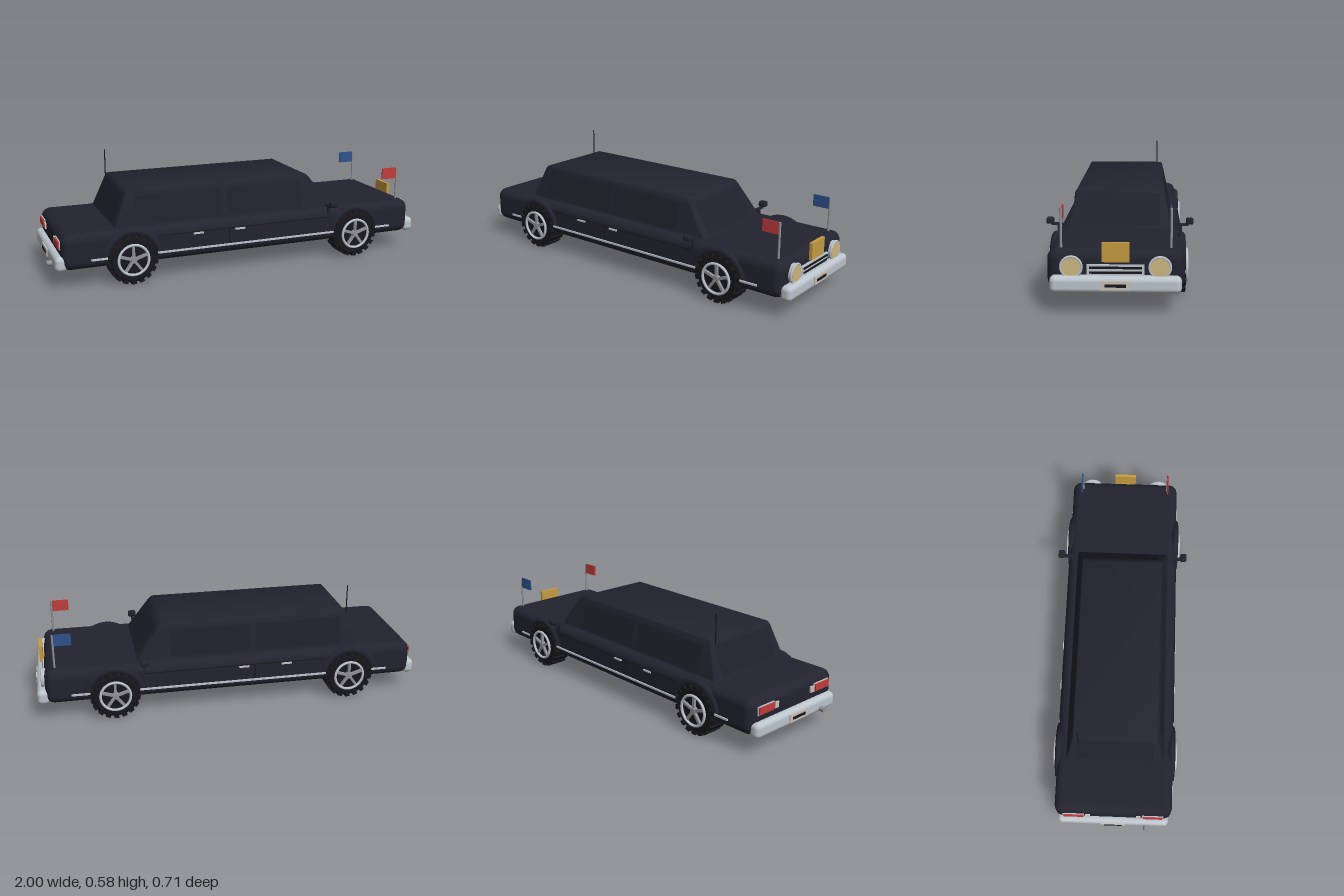
import * as THREE from 'three';
import { RoundedBoxGeometry } from 'three/addons/geometries/RoundedBoxGeometry.js';
import { toCreasedNormals } from 'three/addons/utils/BufferGeometryUtils.js';

const mat = (name, color, extra = {}) => {
  const m = new THREE.MeshStandardMaterial({ color, ...extra });
  m.name = name;
  return m;
};

export function createModel() {
  const paint = mat('black paint', 0x232330);
  const glass = mat('dark glass', 0x20202c, { side: THREE.DoubleSide });
  const rubber = mat('rubber', 0x17171c);
  const chrome = mat('chrome', 0xbcc4cc);
  const steel = mat('rim steel', 0x909298);
  const red = mat('red', 0xc23c3c);
  const blue = mat('blue', 0x2f528f);
  const gold = mat('gold', 0xc69c40);
  const lens = mat('lamp lens', 0xcdb981);
  const ivory = mat('plate ivory', 0xcbc2b8);

  const car = new THREE.Group();
  car.name = 'limousine';

  const add = (name, geo, material, x = 0, y = 0, z = 0, parent = car) => {
    const m = new THREE.Mesh(geo, material);
    m.name = name;
    m.position.set(x, y, z);
    parent.add(m);
    return m;
  };
  // box given by its minimum and maximum corners
  const box = (name, material, a, b, parent = car) => add(name,
    new THREE.BoxGeometry(b[0] - a[0], b[1] - a[1], b[2] - a[2]), material,
    (a[0] + b[0]) / 2, (a[1] + b[1]) / 2, (a[2] + b[2]) / 2, parent);
  const rounded = (name, material, a, b, r) => add(name,
    new RoundedBoxGeometry(b[0] - a[0], b[1] - a[1], b[2] - a[2], 4, r), material,
    (a[0] + b[0]) / 2, (a[1] + b[1]) / 2, (a[2] + b[2]) / 2);
  // four-cornered pane
  const pane = (name, pts) => {
    const g = new THREE.BufferGeometry().setFromPoints(pts.map(p => new THREE.Vector3(...p)));
    g.setIndex([0, 1, 2, 0, 2, 3]);
    g.computeVertexNormals();
    add(name, g, glass);
  };

  // body and floor
  rounded('body', paint, [-0.945, 0.095, -0.297], [0.95, 0.274, 0.297], 0.045);

  // cabin: a rounded box tapered towards the roof
  const y0 = 0.24, y1 = 0.45;
  const level = y => {
    const t = (y - y0) / (y1 - y0);
    return { back: -0.69 + 0.085 * t, front: 0.515 - 0.15 * t, side: 0.256 - 0.044 * t };
  };
  const cabin = new RoundedBoxGeometry(2, y1 - y0, 2, 4, 0.022);
  const p = cabin.attributes.position;
  for (let i = 0; i < p.count; i++) {
    const y = p.getY(i) + (y0 + y1) / 2, l = level(y);
    p.setXYZ(i, (l.back + l.front) / 2 + p.getX(i) * (l.front - l.back) / 2, y, p.getZ(i) * l.side);
  }
  // keep the rounding even on both axes
  add('cabin', toCreasedNormals(cabin, 0.6), paint);

  // windows
  const lo = level(0.285), hi = level(0.425), e = 0.002;
  pane('windshield', [[lo.front + e, 0.285, 0.192], [lo.front + e, 0.285, -0.192],
    [hi.front + e, 0.425, -0.192], [hi.front + e, 0.425, 0.192]]);
  pane('rearWindow', [[lo.back - e, 0.285, -0.192], [lo.back - e, 0.285, 0.192],
    [hi.back - e, 0.425, 0.192], [hi.back - e, 0.425, -0.192]]);
  for (const s of [1, -1]) {
    for (const [a, b] of [[-0.57, -0.12], [-0.09, 0.32]]) {
      pane('sideWindow', [[a, 0.285, s * (lo.side + e)], [b, 0.285, s * (lo.side + e)],
        [b, 0.42, s * (level(0.42).side + e)], [a, 0.42, s * (level(0.42).side + e)]]);
    }
  }

  // wheels, with the outer face towards +z
  const makeWheel = () => {
    const w = new THREE.Group();
    w.name = 'wheel';
    const tyre = new THREE.LatheGeometry([[0.07, -0.045], [0.106, -0.045], [0.117, -0.034],
      [0.117, 0.034], [0.106, 0.045], [0.076, 0.045], [0.07, 0.03]]
      .map(q => new THREE.Vector2(...q)), 36);
    add('tyre', toCreasedNormals(tyre, 0.6), rubber).rotation.x = Math.PI / 2;
    w.add(car.children[car.children.length - 1]);
    for (let i = 0; i < 18; i++) {
      const a = (i / 18) * Math.PI * 2;
      add('tread', new THREE.BoxGeometry(0.024, 0.016, 0.092), rubber,
        Math.sin(a) * 0.117, Math.cos(a) * 0.117, 0, w).rotation.z = -a;
    }
    add('wheelDisc', new THREE.CylinderGeometry(0.074, 0.074, 0.07, 32), rubber, 0, 0, 0, w).rotation.x = Math.PI / 2;
    add('rimRing', new THREE.TorusGeometry(0.075, 0.007, 8, 40), chrome, 0, 0, 0.052, w);
    add('hub', new THREE.CylinderGeometry(0.015, 0.018, 0.02, 20), steel, 0, 0, 0.046, w).rotation.x = Math.PI / 2;
    for (let i = 0; i < 5; i++) {
      const a = (i / 5) * Math.PI * 2;
      add('spoke', new THREE.BoxGeometry(0.013, 0.066, 0.014), steel,
        Math.sin(a) * 0.041, Math.cos(a) * 0.041, 0.046, w).rotation.z = -a;
    }
    return w;
  };
  for (const x of [-0.605, 0.61]) {
    for (const s of [1, -1]) {
      const w = makeWheel();
      w.position.set(x, 0.125, s * 0.264);
      if (s < 0) w.rotation.y = Math.PI;
      car.add(w);
      // flared arch over the wheel
      const arch = add('wheelArch', new THREE.TorusGeometry(0.137, 0.019, 10, 28, Math.PI * 0.86),
        paint, x, 0.125, s * 0.291);
      arch.rotation.z = Math.PI * 0.07;
    }
  }

  // trim on each flank
  for (const s of [1, -1]) {
    const strip = (name, m, xa, xb, ya, yb, depth) => add(name,
      new THREE.BoxGeometry(xb - xa, yb - ya, depth), m, (xa + xb) / 2, (ya + yb) / 2, s * 0.298);
    strip('sideTrim', chrome, -0.81, -0.72, 0.139, 0.148, 0.012);
    strip('sideTrim', chrome, -0.485, 0.49, 0.139, 0.148, 0.012);
    strip('sideTrim', chrome, 0.73, 0.825, 0.139, 0.148, 0.012);
    strip('beltLine', rubber, -0.46, 0.46, 0.226, 0.23, 0.004);
    strip('doorGap', rubber, -0.107, -0.102, 0.15, 0.228, 0.004);
    strip('doorHandle', chrome, -0.295, -0.242, 0.217, 0.225, 0.014);
    strip('doorHandle', chrome, -0.073, -0.02, 0.217, 0.225, 0.014);

    // mirror
    rounded('mirror', paint, [0.44, 0.288, s * 0.336 - 0.018], [0.482, 0.318, s * 0.336 + 0.018], 0.01);
    box('mirrorArm', paint, [0.452, 0.281, s * 0.297 - 0.032], [0.468, 0.291, s * 0.297 + 0.032]);
    box('mirrorFoot', paint, [0.452, 0.235, s * 0.292 - 0.008], [0.468, 0.288, s * 0.292 + 0.008]);

    // headlight
    const lamp = (name, r, len, m, x) =>
      add(name, new THREE.CylinderGeometry(r, r, len, 36), m, x, 0.203, s * 0.19).rotation.z = Math.PI / 2;
    lamp('headlightHousing', 0.047, 0.04, chrome, 0.945);
    add('headlightRing', new THREE.TorusGeometry(0.045, 0.006, 8, 36), chrome, 0.963, 0.203, s * 0.19).rotation.y = Math.PI / 2;
    lamp('headlightLens', 0.041, 0.008, lens, 0.965);

    // tail light and reversing lamp
    box('tailLightFrame', chrome, [-0.949, 0.196, s * 0.2 - 0.054], [-0.93, 0.238, s * 0.2 + 0.054]);
    box('tailLight', red, [-0.956, 0.2, s * 0.2 - 0.05], [-0.94, 0.234, s * 0.2 + 0.05]);
    box('reverseLight', ivory, [-0.953, 0.2, s * 0.128 - 0.012], [-0.935, 0.23, s * 0.128 + 0.012]);

    // pennant on its pole
    add('flagPole', new THREE.CylinderGeometry(0.0055, 0.0055, 0.183, 10), steel, 0.897, 0.3555, s * 0.238);
    box('flag', s > 0 ? red : blue, [0.807, 0.388, s * 0.238 - 0.003], [0.895, 0.447, s * 0.238 + 0.003]);
  }

  // bumpers and number plates
  rounded('frontBumper', chrome, [0.932, 0.092, -0.283], [0.992, 0.167, 0.283], 0.024);
  rounded('rearBumper', chrome, [-0.976, 0.092, -0.283], [-0.918, 0.167, 0.283], 0.024);
  box('frontPlate', ivory, [0.985, 0.111, -0.064], [0.997, 0.151, 0.064]);
  box('frontPlateBar', rubber, [0.995, 0.124, -0.045], [1, 0.137, 0.045]);
  box('rearPlate', ivory, [-0.981, 0.111, -0.064], [-0.97, 0.151, 0.064]);
  box('rearPlateBar', rubber, [-0.984, 0.124, -0.045], [-0.979, 0.137, 0.045]);

  // grille
  box('grille', chrome, [0.93, 0.165, -0.123], [0.96, 0.213, 0.123]);
  for (const y of [0.179, 0.2]) box('grilleSlot', rubber, [0.955, y - 0.005, -0.113], [0.963, y + 0.005, 0.113]);

  // crest plate above the grille
  box('crestPlate', gold, [0.955, 0.227, -0.059], [0.971, 0.312, 0.059]);
  box('crestBracket', gold, [0.93, 0.23, -0.02], [0.96, 0.245, 0.02]);

  // exhaust and aerial
  add('exhaust', new THREE.CylinderGeometry(0.013, 0.013, 0.12, 16), steel, -0.94, 0.112, 0.17).rotation.z = Math.PI / 2;
  add('aerial', new THREE.CylinderGeometry(0.0028, 0.0028, 0.318, 8), rubber, -0.615, 0.418, -0.183);

  return car;
}
